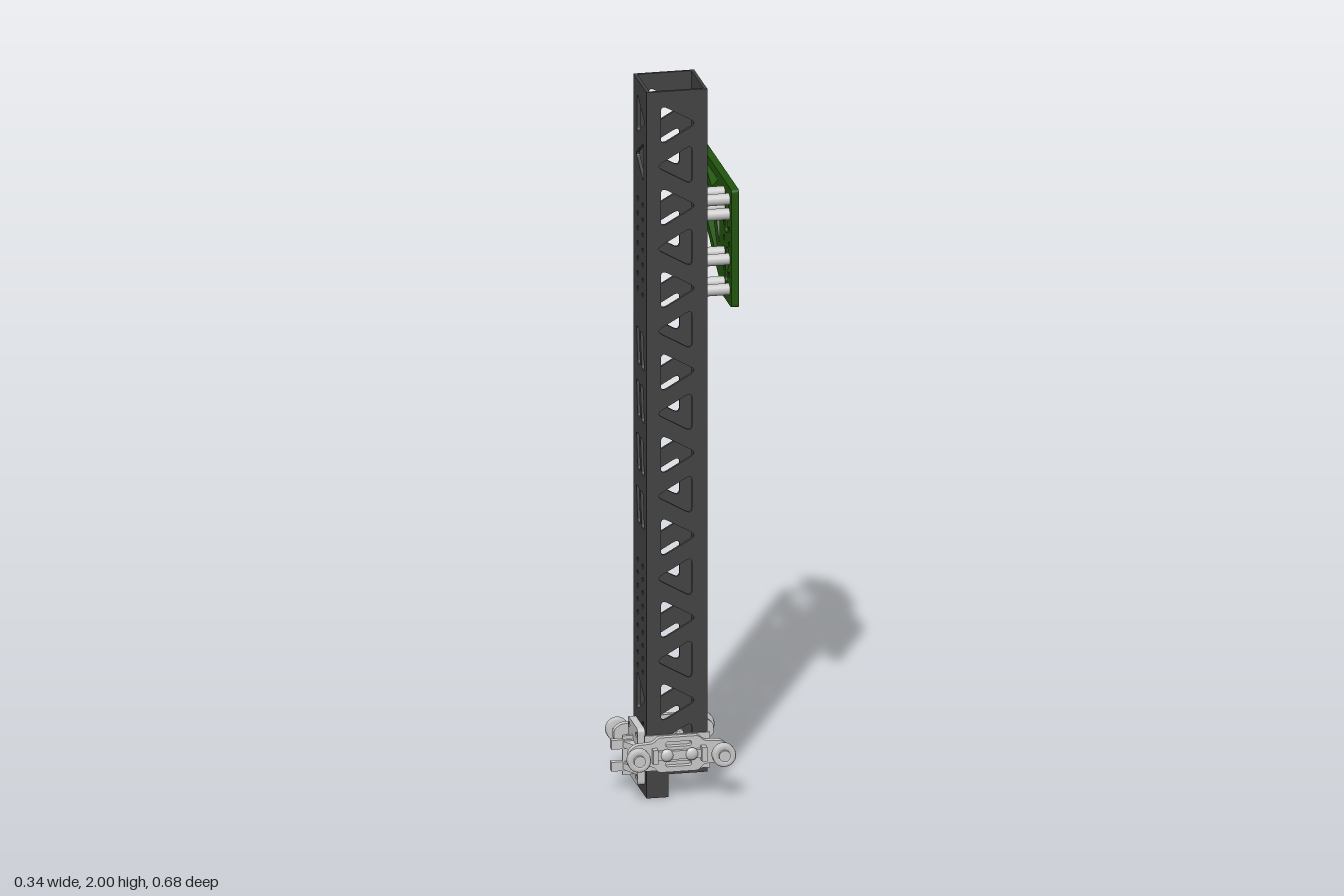
import * as THREE from 'three';

const mat = (color) => new THREE.MeshStandardMaterial({ color });
const DARK = mat(0x444444), GREEN = mat(0x22550d), BLUE = mat(0x3a5fa8), GREY = mat(0xcccccc);
const NUT = new THREE.MeshStandardMaterial({ color: 0xcccccc, flatShading: true });
const MID_Z = 0.185; // centre line of the mast

// Polygon outline with corners rounded by a cut length d
function outline(points, d = 0, Kind = THREE.Path) {
  const path = new Kind();
  const v = points.map((p) => new THREE.Vector2(...p));
  v.forEach((p, i) => {
    const prev = v[(i + v.length - 1) % v.length], next = v[(i + 1) % v.length];
    const toward = (q) => p.clone().add(q.clone().sub(p).setLength(Math.min(d, p.distanceTo(q) * 0.45)));
    const a = toward(prev), b = toward(next);
    if (i === 0) path.moveTo(a.x, a.y); else path.lineTo(a.x, a.y);
    if (d > 0) path.quadraticCurveTo(p.x, p.y, b.x, b.y);
  });
  path.closePath();
  return path;
}
const circle = (x, y, r) => new THREE.Path().absarc(x, y, r, 0, Math.PI * 2, true);

function add(parent, name, geometry, material, x = 0, y = 0, z = 0) {
  const mesh = new THREE.Mesh(geometry, material);
  mesh.name = name;
  mesh.position.set(x, y, z);
  parent.add(mesh);
  return mesh;
}

function extrude(points, holes, depth, round = 0) {
  const shape = outline(points, round, THREE.Shape);
  shape.holes.push(...holes);
  return new THREE.ExtrudeGeometry(shape, { depth, bevelEnabled: false, curveSegments: 5 });
}
// Panel drawn in (z, y), thickness running from x - depth to x
function sidePanel(parent, name, geometry, material, x) {
  return add(parent, name, geometry.rotateY(-Math.PI / 2), material, x);
}
const rod = (r, length, axis, sides = 24) => {
  const g = new THREE.CylinderGeometry(r, r, length, sides);
  return axis === 'z' ? g.rotateX(Math.PI / 2) : g.rotateZ(Math.PI / 2);
};

// Triangular lightening cutout, tip toward dir
const triangle = (c, y, dir) => outline([
  [c - dir * 0.043, y - 0.057], [c + dir * 0.057, y], [c - dir * 0.043, y + 0.057]], 0.02);
const triangleY = (i) => 1.905 - 0.1168 * i;

function buildMast() {
  const mast = new THREE.Group();
  mast.name = 'mast';
  const x0 = -0.09, x1 = 0.077, z0 = 0.101, z1 = 0.27, wall = 0.009;

  // Front and back walls, notched at the foot
  for (const [name, z] of [['frontWall', z1 - wall], ['backWall', z0]]) {
    const cuts = Array.from({ length: 16 }, (_, i) => triangle(-0.0075, triangleY(i), i % 2 ? -1 : 1));
    add(mast, name, extrude([[x0, 0], [-0.03, 0], [-0.03, 0.065], [x1, 0.065], [x1, 2], [x0, 2]],
      cuts, wall), DARK, 0, 0, z);
  }

  // Side walls: triangles at the ends, slanted slots and bolt-hole rows between
  for (const [name, x, foot] of [['leftWall', x1, 0.065], ['rightWall', x0 + wall, 0]]) {
    const cuts = [0, 1, 14, 15].map((i) => triangle(0.19, triangleY(i), i % 2 ? -1 : 1));
    for (const y of [0.8, 0.95, 1.1, 1.25])
      for (const z of [0.165, 0.215])
        cuts.push(outline([[z - 0.024, y + 0.05], [z + 0.006, y + 0.05],
          [z + 0.024, y - 0.05], [z - 0.006, y - 0.05]], 0.008));
    for (const z of [0.156, 0.22]) {
      for (let i = 0; i < 9; i++) cuts.push(circle(z, 0.342 + 0.0375 * i, 0.007));
      for (let i = 0; i < 7; i++) cuts.push(circle(z, 1.41 + 0.0425 * i, 0.007));
      if (foot === 0) cuts.push(circle(z - 0.003, 0.04, 0.008));
    }
    sidePanel(mast, name, extrude([[z0 + wall, foot], [z1 - wall, foot], [z1 - wall, 2], [z0 + wall, 2]],
      cuts, wall), DARK, x);
  }
  return mast;
}

function buildHook() {
  const hook = new THREE.Group();
  hook.name = 'hook';
  const windows = [
    [[0.075, 1.675], [-0.115, 1.675], [-0.005, 1.63]],
    [[0.095, 1.655], [0.025, 1.61], [0.095, 1.5]],
    [[0.095, 1.435], [0.015, 1.555], [-0.11, 1.545]],
    [[-0.025, 1.6], [-0.12, 1.665], [-0.11, 1.59]],
    [[-0.19, 1.625], [-0.235, 1.62], [-0.275, 1.56], [-0.215, 1.57]],
    [[0.21, 1.66], [0.18, 1.66], [0.166, 1.56], [0.196, 1.56]],
    [[0.21, 1.52], [0.18, 1.52], [0.166, 1.42], [0.196, 1.42]],
  ].map((p) => outline(p, 0.01));
  for (const z of [0.156, 0.22])
    for (let i = 0; i < 7; i++) windows.push(circle(z, 1.41 + 0.0425 * i, 0.008));
  const edge = [[0.25, 1.367], [0.25, 1.7], [-0.18, 1.7], [-0.345, 1.525], [-0.19, 1.548],
    [-0.165, 1.62], [-0.125, 1.62], [-0.143, 1.537], [0.11, 1.39], [0.11, 1.367]];
  sidePanel(hook, 'hookPlate', extrude(edge, windows, 0.021, 0.009), GREEN, 0.169);
  // Standoffs to the mast
  for (const y of [1.41, 1.495, 1.623, 1.665])
    for (const z of [0.152, 0.216]) add(hook, 'standoff', rod(0.016, 0.071, 'x'), GREY, 0.1125, y, z);
  return hook;
}

// Roller carriage, built outward from the mast wall at z = 0
function buildCarriage(name) {
  const g = new THREE.Group();
  g.name = name;
  const y = 0.128, cx = -0.006;
  add(g, 'pad', new THREE.BoxGeometry(0.18, 0.1, 0.006), GREY, cx, y, 0.001);
  const arm = [[-0.137, -0.015], [-0.118, -0.03], [-0.07, -0.033], [-0.055, -0.05], [0.055, -0.05], [0.07, -0.033],
    [0.118, -0.03], [0.137, -0.015], [0.137, 0.015], [0.118, 0.03], [0.07, 0.033], [0.055, 0.048],
    [-0.055, 0.048], [-0.07, 0.033], [-0.118, 0.03], [-0.137, 0.015]];
  const slots = [-1, 1].map((s) => outline([
    [-0.035, s * 0.028 - 0.007], [0.035, s * 0.028 - 0.007], [0.035, s * 0.028 + 0.007], [-0.035, s * 0.028 + 0.007]], 0.005));
  add(g, 'carriagePlate', extrude(arm, slots, 0.019, 0.008), GREY, cx, y, 0.002);
  add(g, 'rail', new THREE.BoxGeometry(0.14, 0.024, 0.012), GREY, cx, y, 0.026);
  for (const s of [-1, 1]) {
    const rx = cx + s * 0.117, bx = cx + s * 0.034;
    add(g, 'endTab', new THREE.BoxGeometry(0.014, 0.04, 0.022), GREY, cx + s * 0.067, y, 0.031);
    // Roller on its spacer and axle
    add(g, 'spacer', rod(0.016, 0.021, 'z'), BLUE, rx, y, 0.031);
    const profile = [[0.008, -0.012], [0.029, -0.012], [0.032, -0.009], [0.032, 0.009],
      [0.029, 0.012], [0.018, 0.012], [0.018, 0.009], [0.008, 0.009]].map((p) => new THREE.Vector2(...p));
    add(g, 'roller', new THREE.LatheGeometry(profile, 32).rotateX(Math.PI / 2), GREY, rx, y, 0.054);
    add(g, 'axle', rod(0.008, 0.066, 'z', 16), GREY, rx, y, 0.035);
    add(g, 'axleHead', rod(0.016, 0.007, 'z', 16), GREY, rx, y, 0.067);
    // Mounting bolt with nut inside the mast
    add(g, 'boltHead', new THREE.SphereGeometry(0.018, 16, 6, 0, Math.PI * 2, 0, Math.PI / 2)
      .scale(1, 0.5, 1).rotateX(Math.PI / 2), GREY, bx, y, 0.029);
    add(g, 'bolt', rod(0.008, 0.055, 'z', 16), GREY, bx, y, 0.001);
    add(g, 'nut', rod(0.017, 0.016, 'z', 6), NUT, bx, y, -0.017);
  }
  return g;
}

function buildSideBracket() {
  const g = new THREE.Group();
  g.name = 'sideBracket';
  const hole = (z, y) => circle(z, y, 0.008);
  sidePanel(g, 'bracketPlate', extrude([[0.122, 0.03], [0.248, 0.03], [0.248, 0.19], [0.122, 0.19]],
    [hole(0.14, 0.05), hole(0.23, 0.05), hole(0.14, 0.17), hole(0.23, 0.17)], 0.02, 0.012), GREY, -0.09);
  // Tapered gussets with projecting tabs
  for (const y of [0.07, 0.132]) {
    const gusset = extrude([[-0.11, 0.125], [-0.11, 0.245], [-0.138, 0.195], [-0.138, 0.175]], [], 0.018);
    add(g, 'gusset', gusset.rotateX(Math.PI / 2), GREY, 0, y + 0.009, 0);
    add(g, 'tab', new THREE.BoxGeometry(0.062, 0.026, 0.017), GREY, -0.139, y, MID_Z);
  }
  add(g, 'web', new THREE.BoxGeometry(0.03, 0.11, 0.01), GREY, -0.124, 0.1, MID_Z);
  return g;
}

export function createModel() {
  const model = new THREE.Group();
  model.name = 'mastAssembly';
  const front = buildCarriage('frontCarriage');
  front.position.z = 0.27;
  // The carriage is turned about and shifted to sit over the same x centre
  const back = buildCarriage('backCarriage');
  back.rotation.y = Math.PI;
  back.position.set(-0.012, 0, 0.101);
  model.add(buildMast(), buildHook(), front, back, buildSideBracket());
  return model;
}
